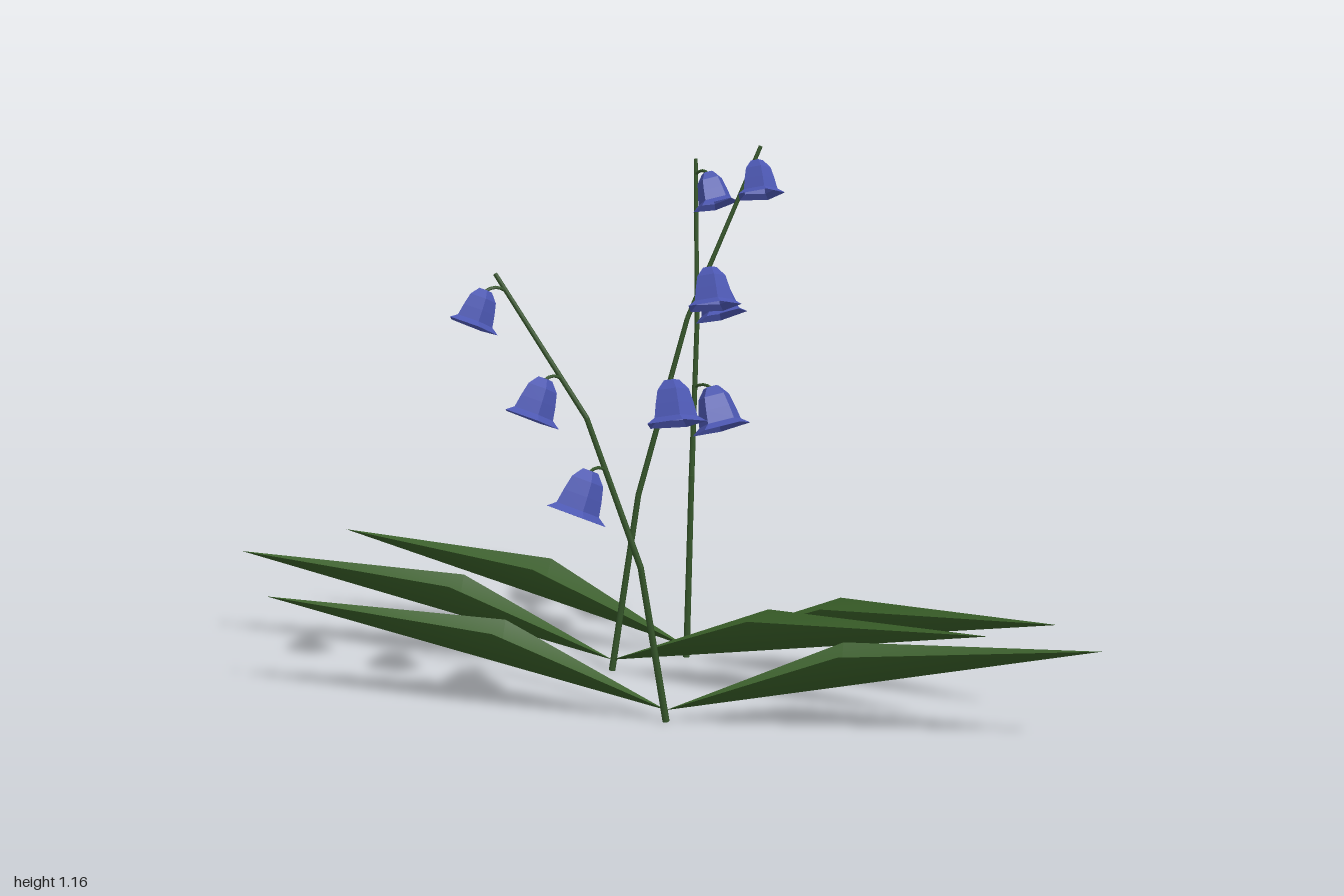
import * as THREE from 'three';

const mat = (name, color, side = THREE.FrontSide, flatShading = false) => {
  const m = new THREE.MeshStandardMaterial({ color, side, flatShading });
  m.name = name;
  return m;
};
const V = (a) => new THREE.Vector3(...a);

// Each plant: stem points, leaf tips [x, z], and bells hanging towards one side
const PLANTS = [
  {
    stem: [[0.115, 0, 0.175], [0.067, 0.335, 0.198], [-0.035, 0.65, 0.238], [-0.205, 0.945, 0.302]],
    leaves: [[0.99, 0.043], [-0.757, 0.305]],
    side: [-0.55, 0.83], tilt: 0.44,
    bells: [[-0.22, 0.882, 0.35], [-0.112, 0.698, 0.31], [-0.028, 0.505, 0.284]],
  },
  {
    stem: [[-0.115, 0, -0.095], [-0.067, 0.4, -0.135], [0.02, 0.79, -0.208], [0.147, 1.16, -0.323]],
    leaves: [[-1, 0.005], [0.757, 0.027]],
    side: [0.57, 0.82], tilt: 0.36,
    bells: [[0.162, 1.097, -0.26], [0.083, 0.865, -0.184], [0.018, 0.618, -0.124]],
  },
  {
    stem: [[0.008, 0, -0.245], [0.008, 0.42, -0.274], [0, 0.765, -0.328], [-0.03, 1.12, -0.397]],
    leaves: [[-0.87, -0.257], [0.874, -0.102]],
    side: [0.86, 0.51], tilt: 0.4,
    bells: [[0.022, 1.058, -0.361], [0.052, 0.822, -0.314], [0.066, 0.58, -0.275]],
  },
];

// Tapered rod between two points
function rod(a, b, r0, r1, material, name) {
  const dir = b.clone().sub(a);
  const mesh = new THREE.Mesh(new THREE.CylinderGeometry(r1, r0, dir.length(), 6), material);
  mesh.position.copy(a).add(b).multiplyScalar(0.5);
  mesh.quaternion.setFromUnitVectors(new THREE.Vector3(0, 1, 0), dir.normalize());
  mesh.name = name;
  return mesh;
}

// Point on the stem at a given height
function stemAt(points, y) {
  let i = 0;
  while (i < points.length - 2 && points[i + 1].y < y) i++;
  const t = (y - points[i].y) / (points[i + 1].y - points[i].y);
  return points[i].clone().lerp(points[i + 1], t);
}

// Pointed leaf folded along a straight midrib, with raised edges
function leaf(base, [tx, tz], material) {
  const root = new THREE.Vector3(base.x, 0.025, base.z);
  const tip = new THREE.Vector3(tx, 0.215, tz);
  const mid = root.clone().lerp(tip, 0.41);
  const across = new THREE.Vector3(tip.z - root.z, 0, root.x - tip.x).setLength(0.052);
  const left = mid.clone().add(across).setY(0.182);
  const right = mid.clone().sub(across).setY(0.182);
  const geo = new THREE.BufferGeometry().setFromPoints([root, left, tip, right, mid]);
  geo.setIndex([0, 4, 1, 1, 4, 2, 0, 3, 4, 3, 2, 4]);
  geo.computeVertexNormals();
  const mesh = new THREE.Mesh(geo, material);
  mesh.name = 'leaf';
  return mesh;
}

// Five-sided bell, open at both ends; unit profile of [radius, height]
const BELL_PROFILE = [[1, -0.5], [0.72, -0.36], [0.64, -0.05], [0.53, 0.27], [0.26, 0.5]]
  .map(([r, y]) => new THREE.Vector2(r, y));

export function createModel() {
  const stemMat = mat('stem green', 0x35552a);
  const leafMat = mat('leaf green', 0x3a6029, THREE.DoubleSide);
  const bellMat = mat('bell blue', 0x4c57b2, THREE.DoubleSide, true);
  const bellGeo = new THREE.LatheGeometry(BELL_PROFILE, 5);

  const model = new THREE.Group();
  model.name = 'bellflowers';

  for (const p of PLANTS) {
    const plant = new THREE.Group();
    plant.name = 'plant';
    const pts = p.stem.map(V);

    // Bent stem
    for (let i = 0; i < 3; i++) {
      plant.add(rod(pts[i], pts[i + 1], 0.0075 - i * 0.001, 0.0065 - i * 0.001, stemMat, 'stem'));
    }

    for (const tip of p.leaves) plant.add(leaf(pts[0], tip, leafMat));

    // Bells grow larger towards the ground, mouths turned outwards
    const out = new THREE.Vector3(p.side[0], 0, p.side[1]).normalize();
    const up = out.clone().multiplyScalar(-Math.sin(p.tilt));
    up.y = Math.cos(p.tilt);
    const sideways = new THREE.Vector3().crossVectors(up, out).normalize();
    const front = new THREE.Vector3().crossVectors(sideways, up);
    const turn = new THREE.Matrix4().makeBasis(sideways, up, front);
    p.bells.forEach((c, i) => {
      const radius = 0.055 + i * 0.0075;
      const height = 0.076 + i * 0.01;
      const bell = new THREE.Mesh(bellGeo, bellMat);
      bell.name = 'bell';
      bell.position.copy(V(c));
      bell.quaternion.setFromRotationMatrix(turn);
      bell.scale.set(radius, height, radius);
      plant.add(bell);

      // Arched stalk from the stem to the top of the bell
      const top = V(c).addScaledVector(up, height * 0.46);
      const start = stemAt(pts, top.y - 0.004);
      const arch = start.clone().lerp(top, 0.5);
      arch.y += 0.016;
      const stalk = new THREE.Mesh(
        new THREE.TubeGeometry(new THREE.QuadraticBezierCurve3(start, arch, top), 4, 0.0035, 5),
        stemMat);
      stalk.name = 'stalk';
      plant.add(stalk);
    });
    model.add(plant);
  }
  return model;
}
